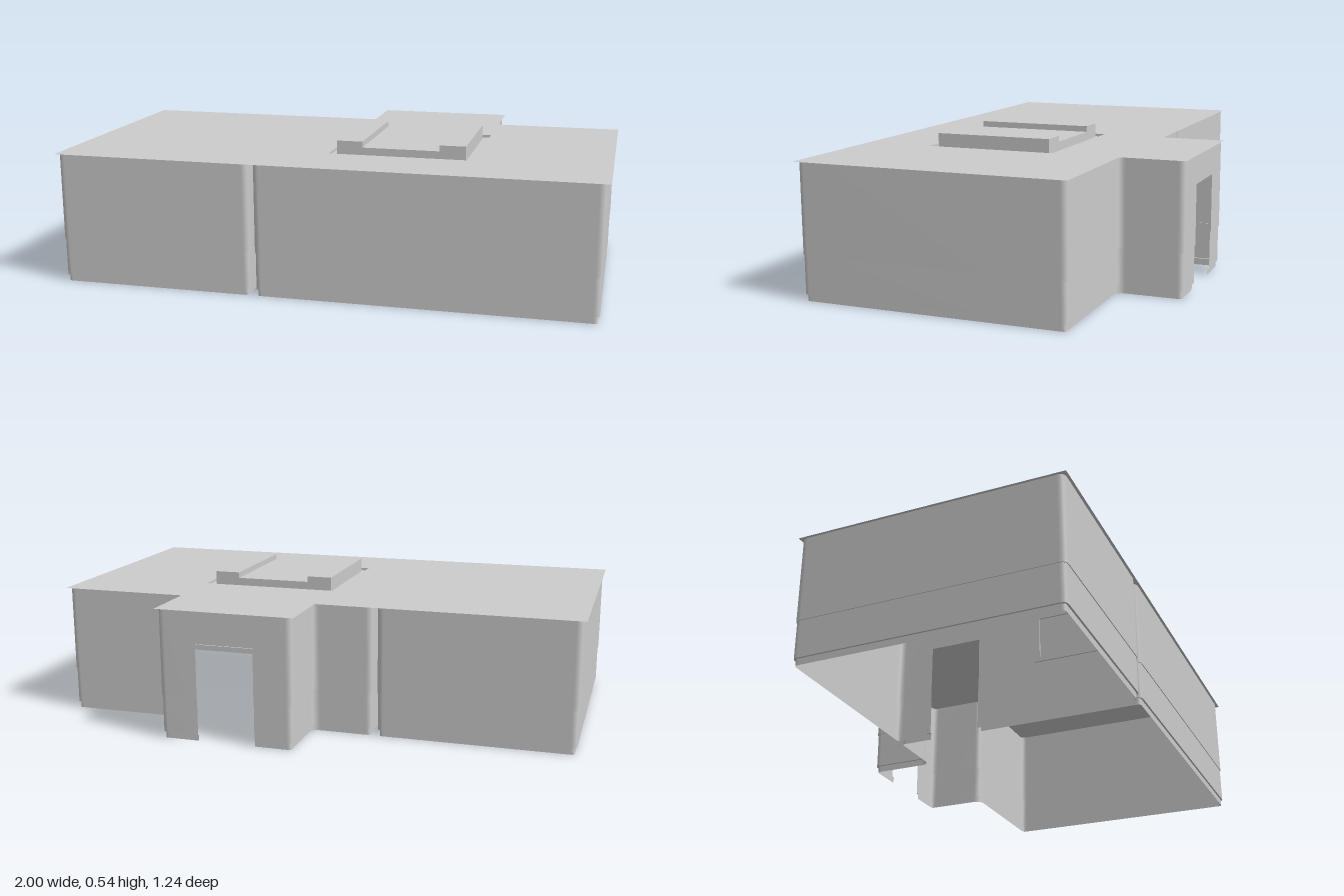
import * as THREE from 'three';

const TOP = 0.49, DOOR = 0.385;

const plaster = new THREE.MeshStandardMaterial({ color: 0xcccccc, side: THREE.DoubleSide });
plaster.name = 'greyPlaster';

function add(group, name, geometry) {
  const mesh = new THREE.Mesh(geometry, plaster);
  mesh.name = name;
  group.add(mesh);
  return mesh;
}

// Floor-plan path of [x, z] corners, with each inner corner rounded
function roundPath(corners, r = 0.025) {
  const v = corners.map(([x, z]) => new THREE.Vector2(x, z));
  const out = [v[0]];
  for (let i = 1; i < v.length - 1; i++) {
    const a = v[i].clone().add(v[i - 1].clone().sub(v[i]).setLength(r));
    const b = v[i].clone().add(v[i + 1].clone().sub(v[i]).setLength(r));
    out.push(...new THREE.QuadraticBezierCurve(a, v[i], b).getPoints(5));
  }
  out.push(v[v.length - 1]);
  return out;
}

// Shift a path sideways, towards the room it encloses
function inset(path, d) {
  return path.map((p, i) => {
    const t = path[Math.min(i + 1, path.length - 1)].clone().sub(path[Math.max(i - 1, 0)]).normalize();
    return new THREE.Vector2(p.x + t.y * d, p.y - t.x * d);
  });
}

// Strip of surface between two [inset, height] levels along a path
function strip(path, [d0, y0], [d1, y1]) {
  const low = inset(path, d0), high = inset(path, d1), pos = [], index = [];
  low.forEach((p, i) => {
    pos.push(p.x, y0, p.y, high[i].x, y1, high[i].y);
    if (i) {
      const k = 2 * i;
      index.push(k - 2, k - 1, k, k, k - 1, k + 1);
    }
  });
  const g = new THREE.BufferGeometry();
  g.setAttribute('position', new THREE.Float32BufferAttribute(pos, 3));
  g.setIndex(index);
  g.computeVertexNormals();
  return g;
}

// Upper wall, lower panel and skirting, stepping slightly inwards
function wallRun(group, name, corners) {
  const path = roundPath(corners), run = new THREE.Group();
  run.name = name;
  add(run, 'upperWall', strip(path, [0, 0.165], [0, TOP]));
  add(run, 'panelLedge', strip(path, [0.003, 0.165], [0, 0.165]));
  add(run, 'lowerWall', strip(path, [0.003, 0.025], [0.003, 0.165]));
  add(run, 'skirtingLedge', strip(path, [0.01, 0.025], [0.003, 0.025]));
  add(run, 'skirting', strip(path, [0.01, 0], [0.01, 0.025]));
  group.add(run);
}

function lintel(group, name, a, b) {
  const path = [new THREE.Vector2(...a), new THREE.Vector2(...b)];
  add(group, name, strip(path, [0, DOOR], [0, TOP]));
}

function rect(shape, x0, x1, y0, y1) {
  return shape.moveTo(x0, y0).lineTo(x1, y0).lineTo(x1, y1).lineTo(x0, y1).closePath();
}

// Horizontal sheet from a shape drawn in x and -z
function sheet(shape, y) {
  return new THREE.ShapeGeometry(shape).rotateX(-Math.PI / 2).translate(0, y, 0);
}

export function createModel() {
  const model = new THREE.Group();
  model.name = 'roomInterior';
  const front = 0.607, back = -0.375, far = -0.615;
  const doorA = -0.03, doorB = -0.24;

  // Small room, open at its doorway
  const small = new THREE.Group();
  small.name = 'smallRoom';
  wallRun(small, 'smallRoomWalls', [[-0.255, doorA], [-0.255, front], [-0.99, front],
    [-0.99, back], [-0.255, back], [-0.255, doorB]].reverse());
  lintel(small, 'smallRoomLintel', [-0.255, doorA], [-0.255, doorB]);
  model.add(small);

  // Large room with an alcove, between two doorways
  const large = new THREE.Group();
  large.name = 'largeRoom';
  wallRun(large, 'mainWalls', [[-0.24, doorA], [-0.24, front], [0.987, front],
    [0.987, back], [0.5, back], [0.5, far], [0.355, far]]);
  wallRun(large, 'alcoveWalls', [[0.135, far], [-0.012, far], [-0.012, back],
    [-0.24, back], [-0.24, doorB]]);
  lintel(large, 'largeRoomLintel', [-0.24, doorA], [-0.24, doorB]);
  lintel(large, 'backDoorLintel', [0.135, far], [0.355, far]);
  model.add(large);

  // Window set between the two rooms, framed on both sides
  const win = new THREE.Group();
  win.name = 'partitionWindow';
  const body = add(win, 'windowBody', new THREE.BoxGeometry(0.014, 0.2, 0.34));
  body.position.set(-0.2475, 0.33, 0.375);
  const ring = rect(new THREE.Shape(), -0.17, 0.17, -0.1, 0.1);
  ring.holes.push(rect(new THREE.Path(), -0.15, 0.15, -0.08, 0.08));
  for (const x of [-0.261, -0.24]) {
    const frame = add(win, 'windowFrame',
      new THREE.ExtrudeGeometry(ring, { depth: 0.006, bevelEnabled: false }));
    frame.rotation.y = Math.PI / 2;
    frame.position.set(x, 0.33, 0.375);
  }
  model.add(win);

  // Ceiling with an opening for the roof light
  const roof = new THREE.Shape([[-1, -0.617], [1, -0.617], [1, 0.38], [0.51, 0.38], [0.51, 0.62],
    [-0.02, 0.62], [-0.02, 0.38], [-1, 0.38]].map(([x, y]) => new THREE.Vector2(x, y)));
  roof.holes.push(rect(new THREE.Path(), -0.025, 0.51, -0.36, 0.135));
  add(model, 'ceiling', sheet(roof, TOP));

  // Roof light: sunken flange and a hollow cover with two raised ends
  const light = new THREE.Group();
  light.name = 'roofLight';
  const flange = rect(new THREE.Shape(), -0.025, 0.51, -0.36, 0.135);
  flange.holes.push(rect(new THREE.Path(), 0.012, 0.468, -0.323, 0.093));
  add(light, 'flange', sheet(flange, 0.48));
  const edge = [[-0.025, -0.135], [0.51, -0.135], [0.51, 0.36], [-0.025, 0.36], [-0.025, -0.135]];
  for (let i = 0; i < 4; i++) {
    const side = [edge[i], edge[i + 1]].map((p) => new THREE.Vector2(...p));
    add(light, 'flangeEdge', strip(side, [0, 0.48], [0, TOP]));
  }
  const z0 = -0.105, z1 = 0.337;
  const profile = [[0, 0.48], [0, 0.535], [0.097, 0.535], [0.097, 0.513],
    [0.383, 0.513], [0.383, 0.535], [0.48, 0.535], [0.48, 0.48]];
  for (let i = 0; i < profile.length - 1; i++) {
    const [xa, ya] = profile[i], [xb, yb] = profile[i + 1];
    const face = new THREE.PlaneGeometry(Math.hypot(xb - xa, yb - ya), z1 - z0);
    face.rotateX(-Math.PI / 2).rotateZ(Math.atan2(yb - ya, xb - xa));
    face.translate((xa + xb) / 2, (ya + yb) / 2, (z0 + z1) / 2);
    add(light, 'coverFace', face);
  }
  const end = new THREE.Shape(profile.map(([x, y]) => new THREE.Vector2(x, y)));
  for (const z of [z0, z1]) add(light, 'coverEnd', new THREE.ShapeGeometry(end).translate(0, 0, z));
  model.add(light);

  return model;
}
